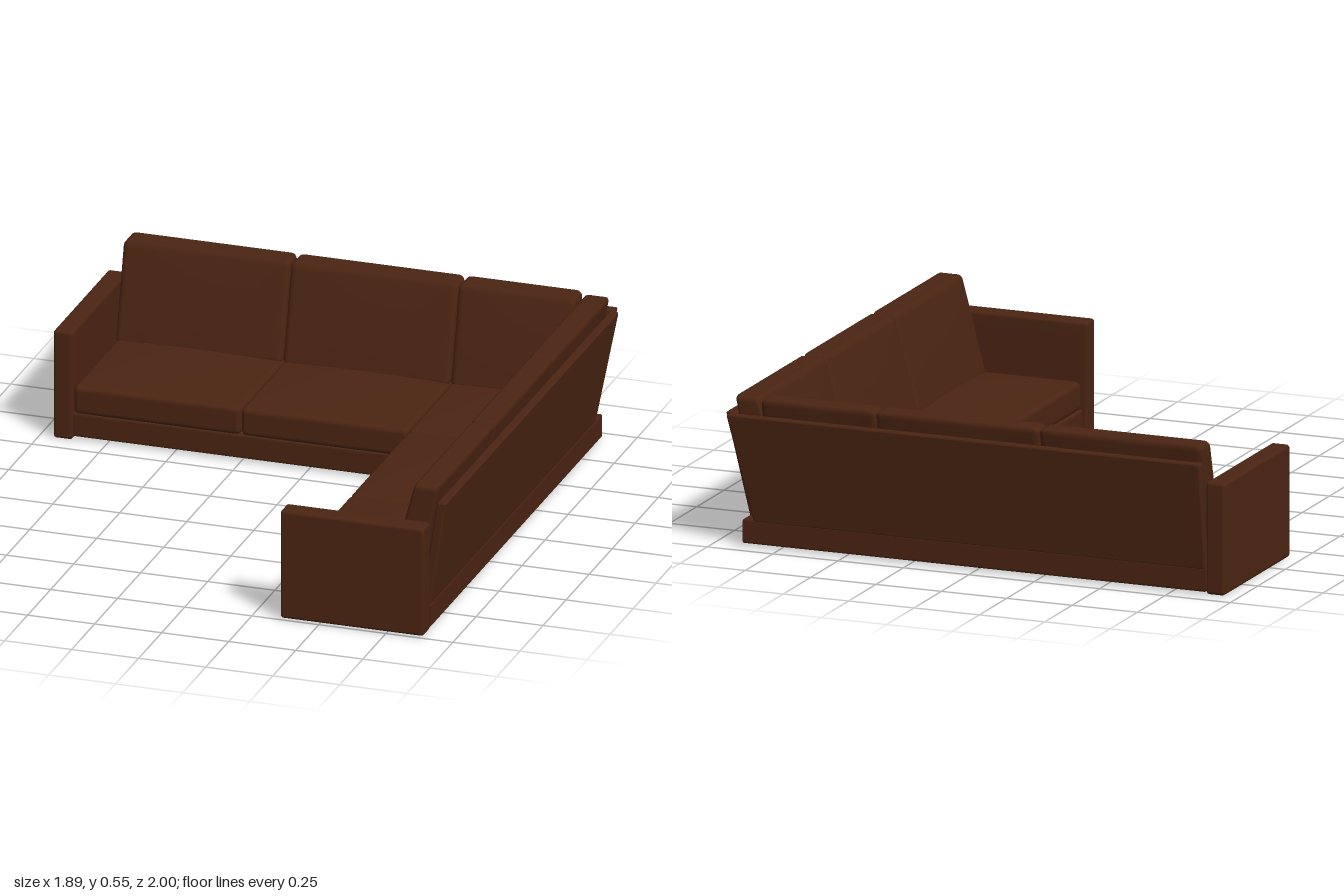
import * as THREE from 'three';
import { mergeVertices } from 'three/addons/utils/BufferGeometryUtils.js';

const leather = new THREE.MeshStandardMaterial({ color: 0x4a2412 });

// Soft-edged block between two corners; swell puffs the broad faces, warp(v, u) bends it.
function block(name, min, max, r, swell = [0, 0, 0], warp = null) {
  const size = max.map((m, i) => m - min[i]);
  const half = size.map((s) => s / 2);
  const N = 14;
  const box = new THREE.BoxGeometry(2, 2, 2, N, N, N);
  box.deleteAttribute('normal');
  box.deleteAttribute('uv');
  const geo = mergeVertices(box, 1e-4);
  const pos = geo.attributes.position;

  // Three grid steps go to each rounded edge, the rest to the flat middle
  const place = (t, h) => {
    const step = Math.abs(t) * N / 2;
    const inner = N / 2 - 3;
    const a = step <= inner
      ? (h - r) * step / inner
      : h - r + r * Math.tan((step - inner) / 3 * Math.PI / 4);
    return Math.sign(t) * a;
  };

  const v = new THREE.Vector3();
  const core = new THREE.Vector3();
  for (let i = 0; i < pos.count; i++) {
    v.fromBufferAttribute(pos, i);
    v.set(place(v.x, half[0]), place(v.y, half[1]), place(v.z, half[2]));
    core.set(...v.toArray().map((c, k) => THREE.MathUtils.clamp(c, r - half[k], half[k] - r)));
    v.sub(core).setLength(r).add(core);
    const u = v.toArray().map((c, k) => c / half[k]);
    const f = u.map((c) => Math.max(0, 1 - c * c));
    v.x += swell[0] * u[0] * f[1] * f[2];
    v.y += swell[1] * u[1] * f[0] * f[2];
    v.z += swell[2] * u[2] * f[0] * f[1];
    v.set(v.x + (min[0] + max[0]) / 2, v.y + (min[1] + max[1]) / 2, v.z + (min[2] + max[2]) / 2);
    if (warp) warp(v, (v.y - min[1]) / size[1]);
    pos.setXYZ(i, v.x, v.y, v.z);
  }
  geo.computeVertexNormals();
  const mesh = new THREE.Mesh(geo, leather);
  mesh.name = name;
  return mesh;
}

// Back cushion leaning rearwards and thinning towards its top
function backCushion(x0, x1) {
  const back = -0.94, front = -0.78;
  return block('backCushion', [x0, 0.19, back], [x1, 0.55, front], 0.022, [0, 0, 0.012], (v, t) => {
    const w = (v.z - back) / (front - back);
    v.z = THREE.MathUtils.lerp(
      THREE.MathUtils.lerp(-0.9, -0.972, t),
      THREE.MathUtils.lerp(-0.785, -0.88, t), w);
  });
}

// Thin leaning rear panel, its corner end (sign of side) flaring outwards with height
function backPanel(x0, x1, side) {
  return block('backPanel', [x0, 0.09, -0.94], [x1, 0.49, -0.905], 0.008, [0, 0, 0], (v, t) => {
    v.z -= 0.06 * t;
    const along = (v.x - x0) / (x1 - x0);
    v.x += side * 0.08 * t * (side > 0 ? along : 1 - along);
  });
}

export function createModel() {
  const sofa = new THREE.Group();
  sofa.name = 'cornerSofa';

  // L-shaped plinth
  const b = 0.008;
  const outline = [[-0.88, 0.94], [-0.88, 0.34], [0.37, 0.34], [0.37, -0.92], [0.89, -0.92], [0.89, 0.94]];
  const inset = [[b, -b], [b, b], [b, b], [b, b], [-b, b], [-b, -b]];
  const shape = new THREE.Shape(outline.map(([x, y], i) => new THREE.Vector2(x + inset[i][0], y + inset[i][1])));
  const plinthGeo = new THREE.ExtrudeGeometry(shape, {
    depth: 0.09 - 2 * b, bevelSize: b, bevelThickness: b, bevelSegments: 3,
  });
  plinthGeo.rotateX(-Math.PI / 2);
  plinthGeo.translate(0, 0.01 + b, 0);
  const plinth = new THREE.Mesh(plinthGeo, leather);
  plinth.name = 'plinth';
  sofa.add(plinth);

  // Seat cushions: two along the back, the corner, two along the side
  const seats = [
    [-0.875, -0.253, -0.92, -0.335],
    [-0.25, 0.37, -0.92, -0.335],
    [0.373, 0.87, -0.92, -0.338],
    [0.373, 0.87, -0.335, 0.288],
    [0.373, 0.87, 0.291, 0.92],
  ];
  for (const [x0, x1, z0, z1] of seats) {
    sofa.add(block('seatCushion', [x0, 0.098, z0], [x1, 0.203, z1], 0.018, [0, 0.009, 0]));
  }

  // Rear run: panel and three cushions
  const rear = new THREE.Group();
  rear.name = 'rearBackrest';
  rear.add(backPanel(-0.88, 0.85, 1));
  for (const [x0, x1] of [[-0.875, -0.254], [-0.25, 0.371], [0.375, 0.81]]) rear.add(backCushion(x0, x1));
  sofa.add(rear);

  // Side run: the same parts turned a quarter
  const side = new THREE.Group();
  side.name = 'sideBackrest';
  side.add(backPanel(-0.88, 0.92, -1));
  for (const [x0, x1] of [[-0.95, -0.334], [-0.33, 0.296], [0.3, 0.92]]) side.add(backCushion(x0, x1));
  side.rotation.y = -Math.PI / 2;
  side.position.x = -0.053;
  sofa.add(side);

  // Arms closing both ends
  sofa.add(block('rightArm', [-0.948, 0, -0.93], [-0.876, 0.41, -0.328], 0.012));
  sofa.add(block('frontArm', [0.355, 0.005, 0.924], [0.89, 0.416, 1.0], 0.012));

  return sofa;
}
